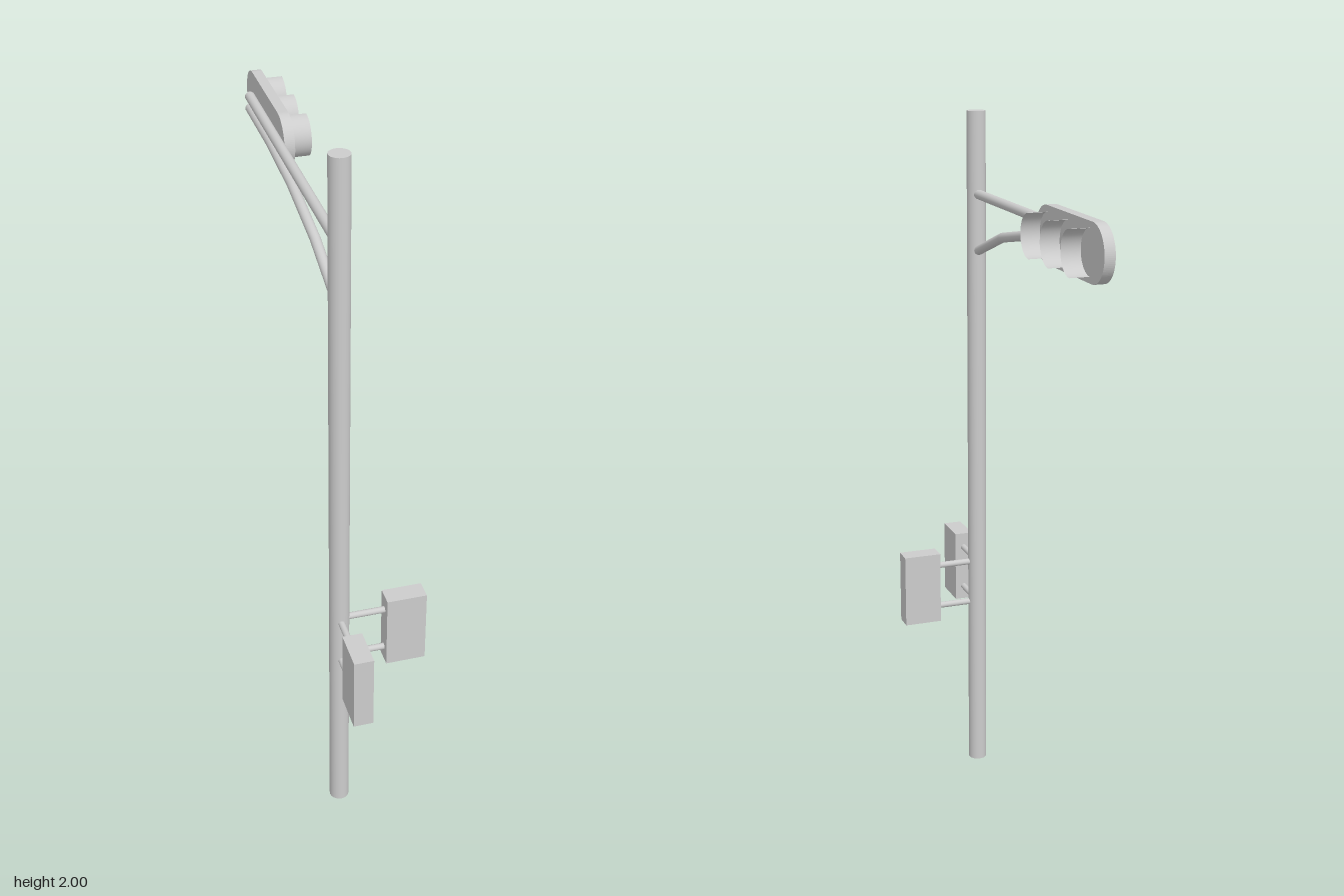
import * as THREE from 'three';

const POLE_X = -0.105, POLE_Z = 0.385;

export function createModel() {
  const group = new THREE.Group();
  const grey = new THREE.MeshStandardMaterial({ color: 0xcccccc, side: THREE.DoubleSide });
  grey.name = 'grey metal';

  const add = (name, geometry, x = 0, y = 0, z = 0) => {
    const mesh = new THREE.Mesh(geometry, grey);
    mesh.name = name;
    mesh.position.set(x, y, z);
    group.add(mesh);
    return mesh;
  };
  // Straight round bar between two points
  const bar = (name, a, b, radius) => {
    const start = new THREE.Vector3(...a), end = new THREE.Vector3(...b);
    const dir = end.clone().sub(start);
    const mesh = add(name, new THREE.CylinderGeometry(radius, radius, dir.length(), 24));
    mesh.position.copy(start).add(end).multiplyScalar(0.5);
    mesh.quaternion.setFromUnitVectors(new THREE.Vector3(0, 1, 0), dir.normalize());
  };

  // Pole
  bar('pole', [POLE_X, 0, POLE_Z], [POLE_X, 2, POLE_Z], 0.027);

  // Overhead arm and its bent brace, with a cap on the far end
  const armX = -0.104, armEnd = -0.525, armRadius = 0.0135;
  bar('upperArm', [armX, 1.77, POLE_Z], [armX, 1.77, armEnd], armRadius);
  const bend = [[0.385, 1.604], [0.155, 1.681], [-0.07, 1.721], [-0.295, 1.736], [armEnd, 1.736]];
  const curve = new THREE.CatmullRomCurve3(bend.map(([z, y]) => new THREE.Vector3(armX, y, z)));
  add('braceArm', new THREE.TubeGeometry(curve, 4, armRadius, 20));
  add('braceCap', new THREE.CircleGeometry(armRadius, 20).rotateY(Math.PI), armX, 1.736, armEnd);

  // Signal panel: rounded-end plate facing +x
  const r = 0.073, half = 0.143, panelY = 1.755, panelZ = -0.406;
  const outline = new THREE.Shape();
  outline.absarc(half, 0, r, -Math.PI / 2, Math.PI / 2);
  outline.absarc(-half, 0, r, Math.PI / 2, Math.PI * 1.5);
  const plate = new THREE.ExtrudeGeometry(outline, { depth: 0.028, bevelEnabled: false, curveSegments: 24 });
  add('signalPanel', plate.rotateY(Math.PI / 2), -0.09, panelY, panelZ);

  // Half-round visors over the three lamps
  for (const z of [-0.275, -0.407, -0.539]) {
    const visor = new THREE.CylinderGeometry(0.057, 0.057, 0.054, 24, 1, true, Math.PI / 2, Math.PI);
    // Turn the axis to x, with the arch upward
    visor.rotateY(Math.PI).rotateZ(Math.PI / 2);
    add('lampVisor', visor, -0.037, panelY, z);
  }

  // Pedestrian signal boxes, each on two short rods
  const height = 0.216, boxY = 0.596;
  add('sideBox', new THREE.BoxGeometry(0.11, height, 0.053), 0.076, boxY, POLE_Z);
  add('frontBox', new THREE.BoxGeometry(0.053, height, 0.11), POLE_X, boxY, 0.566);
  for (const y of [0.529, 0.659]) {
    bar('sideRod', [POLE_X, y, POLE_Z], [0.03, y, POLE_Z], 0.009);
    bar('frontRod', [POLE_X, y, POLE_Z], [POLE_X, y, 0.52], 0.009);
  }
  return group;
}
